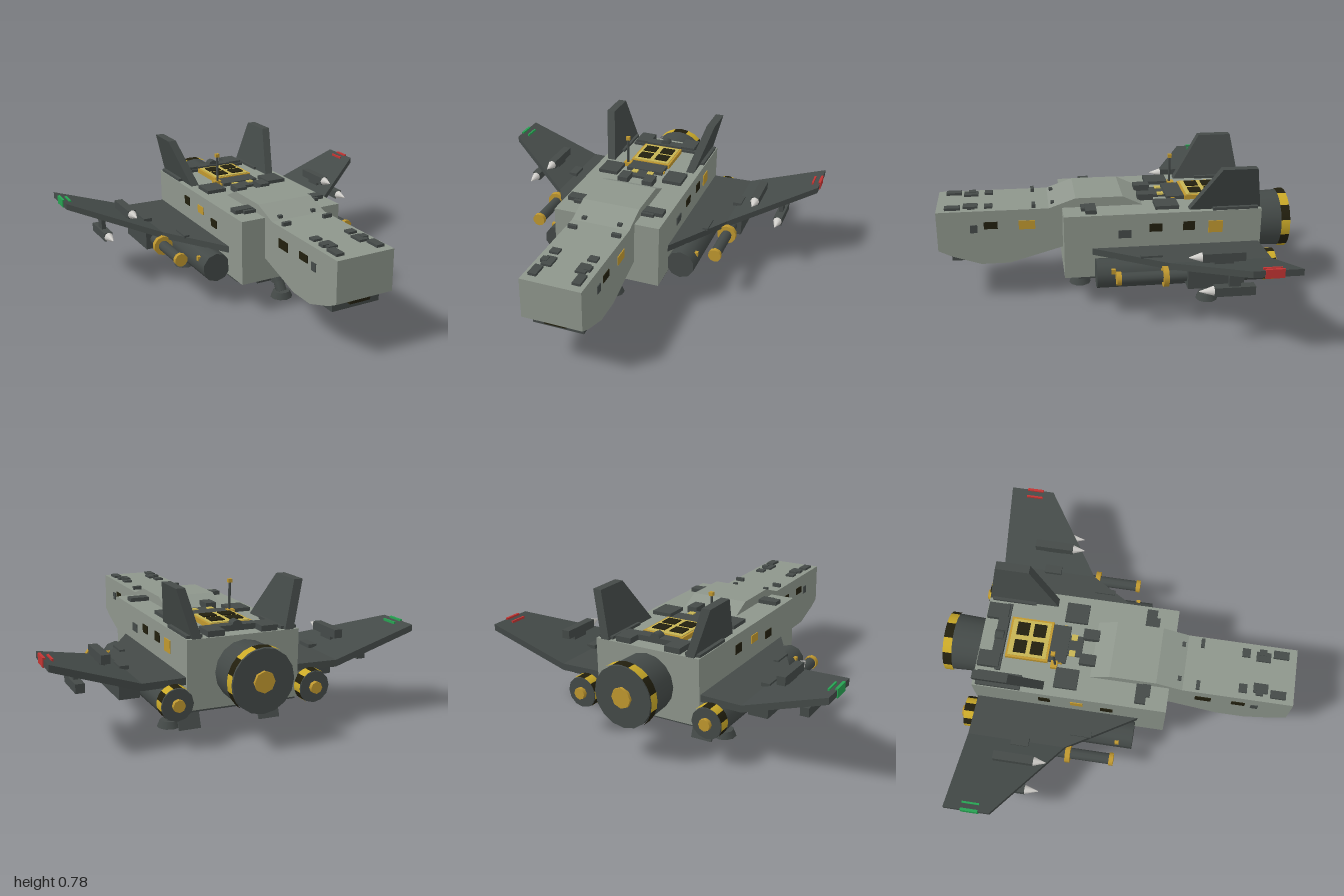
import * as THREE from 'three';

const mat = (name, color) => { const m = new THREE.MeshStandardMaterial({ color }); m.name = name; return m; };

export function createModel() {
  const root = new THREE.Group();
  root.name = 'gunship';
  const hull = mat('hull grey', 0x8e968c), dark = mat('dark grey', 0x444a48);
  const gold = mat('gold', 0xc0982f), yellow = mat('hazard yellow', 0xcbaa28);
  const frame = mat('hatch yellow', 0xc6b453), black = mat('black', 0x221f0e);
  const pale = mat('pale metal', 0xd2d0cc), red = mat('red light', 0xc23432), green = mat('green light', 0x27a252);

  const add = (name, geo, m, parent = root) => {
    const mesh = new THREE.Mesh(geo, m);
    mesh.name = name;
    parent.add(mesh);
    return mesh;
  };
  // Box given by its limits along each axis
  const box = (name, m, x0, x1, y0, y1, z0, z1) => add(name,
    new THREE.BoxGeometry(Math.abs(x1 - x0), Math.abs(y1 - y0), Math.abs(z1 - z0))
      .translate((x0 + x1) / 2, (y0 + y1) / 2, (z0 + z1) / 2), m);
  // Cylinder along z from front to back
  const tube = (name, m, x, y, zf, zb, rf, rb, n = 8) => add(name,
    new THREE.CylinderGeometry(rf, rb, zf - zb, n).rotateX(Math.PI / 2).translate(x, y, (zf + zb) / 2), m);
  // Cylinder between two points
  const rod = (name, m, a, b, ra, rb, n = 8) => {
    const p = new THREE.Vector3(...a), q = new THREE.Vector3(...b), d = q.clone().sub(p);
    const g = new THREE.CylinderGeometry(rb, ra, d.length(), n);
    g.applyQuaternion(new THREE.Quaternion().setFromUnitVectors(new THREE.Vector3(0, 1, 0), d.normalize()));
    const c = p.add(q).multiplyScalar(0.5);
    return add(name, g.translate(c.x, c.y, c.z), m);
  };
  // Closed flat-faced solid through convex rings of points, wound outward by its signed volume
  const loft = (name, m, rings) => {
    const tris = [], n = rings[0].length, last = rings[rings.length - 1];
    for (let r = 0; r + 1 < rings.length; r++) for (let i = 0; i < n; i++) {
      const j = (i + 1) % n, a = rings[r], b = rings[r + 1];
      tris.push([a[i], a[j], b[j]], [a[i], b[j], b[i]]);
    }
    for (let i = 1; i + 1 < n; i++) tris.push([rings[0][0], rings[0][i + 1], rings[0][i]], [last[0], last[i], last[i + 1]]);
    const V = (p) => new THREE.Vector3(...p);
    const volume = tris.reduce((s, t) => s + V(t[0]).dot(V(t[1]).cross(V(t[2]))), 0);
    const pts = tris.flatMap((t) => (volume < 0 ? [t[0], t[2], t[1]] : t)).flat();
    const g = new THREE.BufferGeometry().setAttribute('position', new THREE.Float32BufferAttribute(pts, 3));
    g.computeVertexNormals();
    return add(name, g, m);
  };
  // Side profile of [z, y] points, extruded across the width
  const slab = (name, m, w, pts) => loft(name, m, [-w, w].map((x) => pts.map(([z, y]) => [x, y, z])));
  // Ring of twelve facets, yellow ones centred on the x axis
  const hazardRing = (x, y, zf, zb, r) => {
    const g = new THREE.Group(), step = Math.PI / 6;
    g.name = 'hazardRing';
    root.add(g);
    for (let i = 0; i < 12; i++) add('hazardFacet',
      new THREE.CylinderGeometry(r, r, zf - zb, 2, 1, true, (i - 0.5) * step, step)
        .rotateX(Math.PI / 2).translate(x, y, (zf + zb) / 2), i % 2 ? yellow : black, g);
  };

  // Fuselage
  box('mainBody', hull, -0.305, 0.305, 0.175, 0.535, -0.77, 0.315);
  slab('nose', hull, 0.165, [[1, 0.535], [1, 0.31], [0.93, 0.275], [0.77, 0.22], [0.61, 0.22], [0.31, 0.305], [0.31, 0.535]]);
  slab('dorsalRidge', hull, 0.165, [[0.39, 0.534], [0.24, 0.587], [-0.02, 0.587], [-0.13, 0.534]]);
  box('chinBox', dark, -0.14, 0.14, 0.237, 0.3, 0.8, 0.93);
  box('chinSlot', black, -0.06, 0.06, 0.274, 0.296, 0.925, 0.966);
  box('bellyVent', dark, -0.12, 0.12, 0.245, 0.28, 0.46, 0.6);
  box('bellyPlate', dark, -0.3, 0.3, 0.163, 0.176, -0.76, 0.24);
  for (const z of [-0.22, -0.32, -0.42]) {
    box('bellyHatchFrame', black, -0.075, 0.075, 0.155, 0.165, z - 0.045, z + 0.045);
    box('bellyHatch', gold, -0.06, 0.06, 0.148, 0.156, z - 0.032, z + 0.032);
  }

  // Roof hatch and equipment
  box('roofHatchRim', gold, -0.12, 0.12, 0.53, 0.56, -0.615, -0.375);
  box('roofHatchGrid', frame, -0.108, 0.108, 0.555, 0.564, -0.603, -0.387);
  for (const x of [-0.053, 0.053]) for (const z of [-0.54, -0.445])
    box('roofHatchPane', black, x - 0.038, x + 0.038, 0.56, 0.57, z - 0.035, z + 0.035);
  box('roofStep', dark, -0.11, 0.11, 0.53, 0.555, -0.385, -0.275);
  box('roofStepFront', dark, -0.06, 0.06, 0.53, 0.55, -0.275, -0.195);
  box('roofRearBar', dark, -0.11, 0.11, 0.53, 0.565, -0.69, -0.63);
  box('roofRearBridge', dark, -0.2, 0.2, 0.53, 0.55, -0.66, -0.63);
  tube('roofRearDrum', dark, 0, 0.56, -0.64, -0.69, 0.03, 0.03);
  box('antennaBase', gold, -0.148, -0.105, 0.53, 0.56, -0.355, -0.318);
  rod('antenna', dark, [-0.125, 0.55, -0.33], [-0.125, 0.71, -0.33], 0.007, 0.007, 6);
  box('antennaTip', gold, -0.136, -0.114, 0.705, 0.725, -0.341, -0.319);

  // Main engine
  tube('mainEngine', dark, 0, 0.355, -0.76, -0.985, 0.155, 0.164, 16);
  hazardRing(0, 0.355, -0.935, -0.986, 0.17);
  tube('mainEnginePlug', gold, 0, 0.355, -0.97, -1, 0.055, 0.055, 8);

  // Roof blocks, mirrored: inner x, outer x, z back, z front, height
  const blocks = [
    [0.14, 0.255, -0.32, -0.19, 0.02], [0.045, 0.105, -0.2, -0.11, 0.035], [0.1, 0.19, -0.76, -0.64, 0.03],
    [0.16, 0.235, 0.17, 0.215, 0.018], [0.17, 0.28, 0.135, 0.195, 0.022], [0.09, 0.115, 0.355, 0.375, 0.02],
    [0.1, 0.15, 0.46, 0.48, 0.02], [0.08, 0.13, 0.695, 0.74, 0.012], [0.065, 0.12, 0.775, 0.855, 0.012],
    [0.1, 0.135, 0.79, 0.83, 0.016], [0.095, 0.14, 0.87, 0.955, 0.014],
  ];

  for (const s of [1, -1]) {
    for (const [x0, x1, z0, z1, h] of blocks) box('roofBlock', dark, s * x0, s * x1, 0.53, 0.535 + h, z0, z1);
    box('roofMarker', frame, s * 0.03, s * 0.065, 0.548, 0.556, -0.265, -0.23);
    box('roofLamp', gold, s * 0.095, s * 0.115, 0.53, 0.548, -0.32, -0.295);

    // Side plates and windows
    const plate = (name, m, x, y0, y1, z0, z1) => box(name, m, s * (x - 0.003), s * (x + 0.005), y0, y1, z0, z1);
    plate('nosePort', dark, 0.165, 0.41, 0.455, 0.78, 0.82);
    plate('noseWindow', black, 0.165, 0.43, 0.47, 0.67, 0.745);
    plate('noseMarking', s > 0 ? gold : black, 0.165, 0.42, 0.47, 0.465, 0.555);
    plate('bodyPort', s > 0 ? dark : black, 0.305, 0.4, 0.445, -0.05, 0.02);
    plate('bodyWindow', s > 0 ? black : gold, 0.305, 0.43, 0.475, -0.22, -0.15);
    plate('bodyWindow', black, 0.305, 0.43, 0.48, -0.4, -0.335);
    if (s > 0) plate('bodyMarking', gold, 0.305, 0.41, 0.478, -0.555, -0.475);

    // Wing with flat root and raised tip: x, front z, back z, top, bottom
    loft('wing', dark, [[0.3, 0.17, -0.76, 0.345, 0.308], [0.535, -0.22, -0.77, 0.345, 0.308], [0.985, -0.54, -0.79, 0.495, 0.46]]
      .map(([x, f, b, t, u]) => [[s * x, t, f], [s * x, t, b], [s * x, u, b], [s * x, u, f]]));
    const light = s > 0 ? red : green;
    box('wingTipLight', light, s * 0.976, s * 0.99, 0.455, 0.502, -0.695, -0.6);
    box('wingTipStripe', light, s * 0.938, s * 0.948, 0.445, 0.492, -0.695, -0.6);
    box('wingPlate', dark, s * 0.515, s * 0.565, 0.33, 0.365, -0.52, -0.42);
    box('wingRootPlate', dark, s * 0.43, s * 0.46, 0.34, 0.355, -0.2, -0.08);

    // Canted tail fin
    const finPts = [[-0.37, 0.53, 0], [-0.77, 0.53, 0], [-0.725, 0.78, 1], [-0.535, 0.78, 1]];
    loft('tailFin', dark, [-0.024, 0.024].map((d) => finPts.map(([z, y, k]) => [s * (0.25 + 0.07 * k + d), y, z])));
    box('finRoot', dark, s * 0.215, s * 0.3, 0.53, 0.55, -0.75, -0.5);

    // Side engine nacelle
    tube('nacelle', dark, s * 0.375, 0.23, 0.15, -0.82, 0.081, 0.081, 10);
    hazardRing(s * 0.375, 0.235, -0.765, -0.828, 0.087);
    tube('nacelleBack', dark, s * 0.375, 0.235, -0.77, -0.827, 0.083, 0.083, 12);
    tube('nacellePlug', gold, s * 0.375, 0.235, -0.81, -0.85, 0.032, 0.032, 8);
    box('nacelleLamp', gold, s * 0.43, s * 0.452, 0.25, 0.28, 0.052, 0.075);

    // Wing cannon
    tube('cannonBarrel', dark, s * 0.545, 0.275, 0.04, -0.32, 0.031, 0.031, 10);
    tube('cannonMuzzle', gold, s * 0.545, 0.275, 0.06, 0.035, 0.037, 0.037, 10);
    tube('cannonCollar', gold, s * 0.545, 0.275, -0.185, -0.213, 0.056, 0.056, 10);
    box('cannonHousing', dark, s * 0.49, s * 0.6, 0.22, 0.33, -0.61, -0.31);

    // Missiles above and below the wing
    box('upperLauncher', dark, s * 0.633, s * 0.68, 0.405, 0.452, -0.59, -0.365);
    box('upperPylon', dark, s * 0.643, s * 0.67, 0.365, 0.41, -0.53, -0.43);
    tube('upperMissileTip', pale, s * 0.657, 0.428, -0.297, -0.365, 0.002, 0.026, 8);
    box('lowerLauncher', dark, s * 0.77, s * 0.818, 0.28, 0.328, -0.61, -0.4);
    box('lowerPylon', dark, s * 0.782, s * 0.806, 0.32, 0.41, -0.535, -0.475);
    tube('lowerMissileTip', pale, s * 0.794, 0.304, -0.325, -0.4, 0.002, 0.026, 8);
  }

  // Landing gear: hip and foot positions, and door centre
  for (const [hx, hz, fx, fz, dx] of [[0, 0.14, 0, 0.212, 0], [0.21, -0.51, 0.29, -0.485, 0.227], [-0.21, -0.51, -0.29, -0.485, -0.227]]) {
    box('gearMount', gold, hx - 0.035, hx + 0.035, 0.148, 0.165, hz - 0.055, hz + 0.055);
    rod('gearLeg', dark, [hx, 0.165, hz], [hx + (fx - hx) * 0.6, 0.08, hz + (fz - hz) * 0.6], 0.046, 0.042);
    rod('gearStrut', dark, [hx + (fx - hx) * 0.5, 0.09, hz + (fz - hz) * 0.5], [fx, 0.03, fz], 0.032, 0.032);
    rod('gearFoot', dark, [fx, 0, fz], [fx, 0.036, fz], 0.063, 0.048, 10);
    const z = hz - 0.05;
    loft('gearDoor', dark, [-0.06, 0.06].map((w) =>
      [[z, 0.165], [z - 0.012, 0.165], [z - 0.067, 0.02], [z - 0.055, 0.02]].map(([pz, py]) => [dx + w, py, pz])));
  }
  return root;
}
